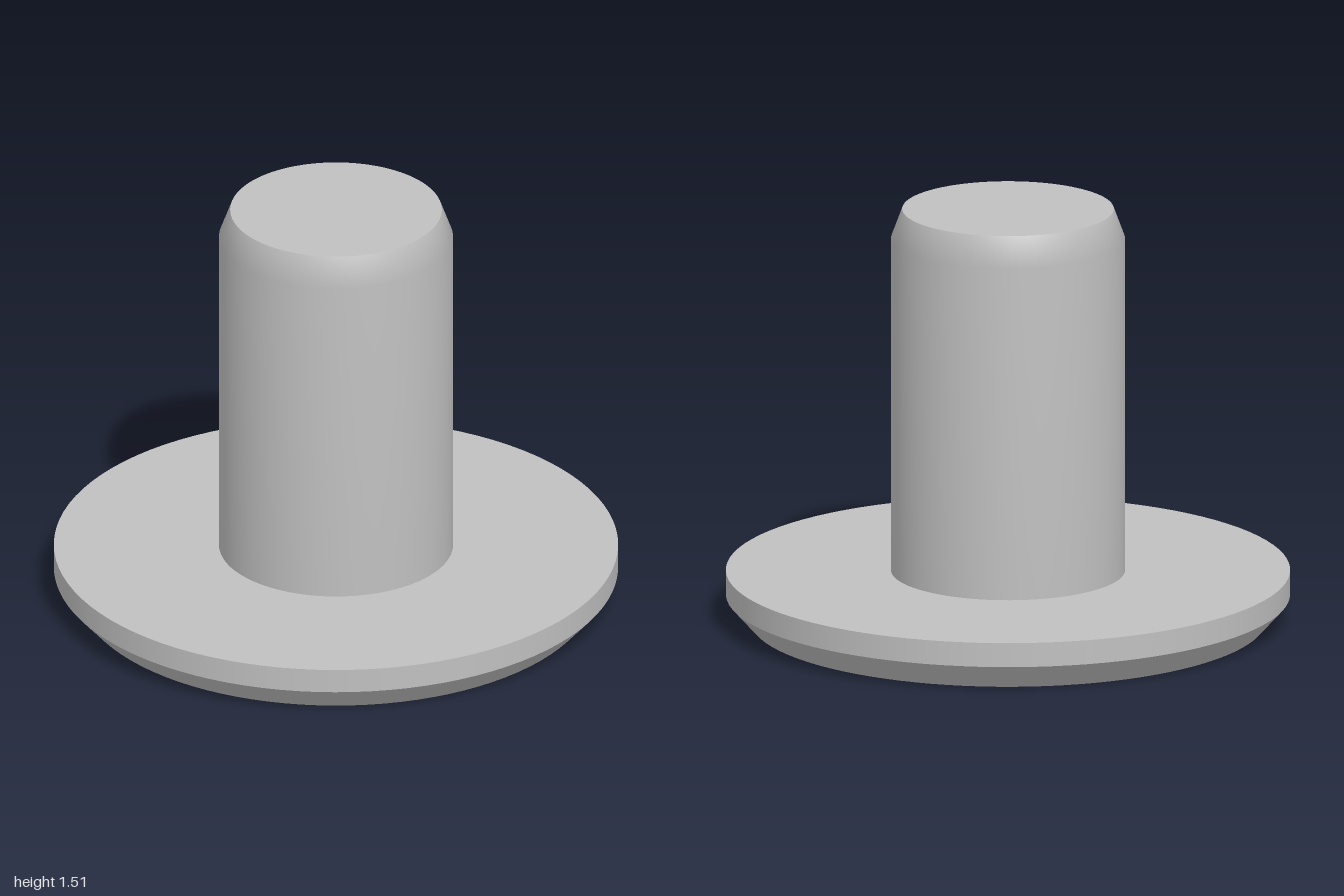
import * as THREE from 'three';

const SEGMENTS = 96;

export function createModel() {
  const model = new THREE.Group();
  model.name = 'flangedPin';
  const steel = new THREE.MeshStandardMaterial({ color: 0xc0c0c0 });
  steel.name = 'grey steel';

  // Each band is turned separately so the edges between bands stay sharp
  function turned(name, bands) {
    const part = new THREE.Group();
    part.name = name;
    for (const [bandName, ...profile] of bands) {
      const points = profile.map(([r, y]) => new THREE.Vector2(r, y));
      const mesh = new THREE.Mesh(new THREE.LatheGeometry(points, SEGMENTS), steel);
      mesh.name = bandName;
      part.add(mesh);
    }
    model.add(part);
  }

  // Wide round flange with a bevelled underside
  turned('flange', [
    ['flangeBottom', [0, 0], [0.915, 0]],
    ['flangeBevel', [0.915, 0], [1, 0.095]],
    ['flangeRim', [1, 0.095], [1, 0.183]],
    ['flangeTop', [1, 0.183], [0.415, 0.183]],
  ]);

  // Shank, blending softly into its tapered tip
  turned('shank', [
    ['shankSide', [0.415, 0.183], [0.415, 1.4], [0.375, 1.508]],
    ['shankTop', [0.375, 1.508], [0, 1.508]],
  ]);

  return model;
}
